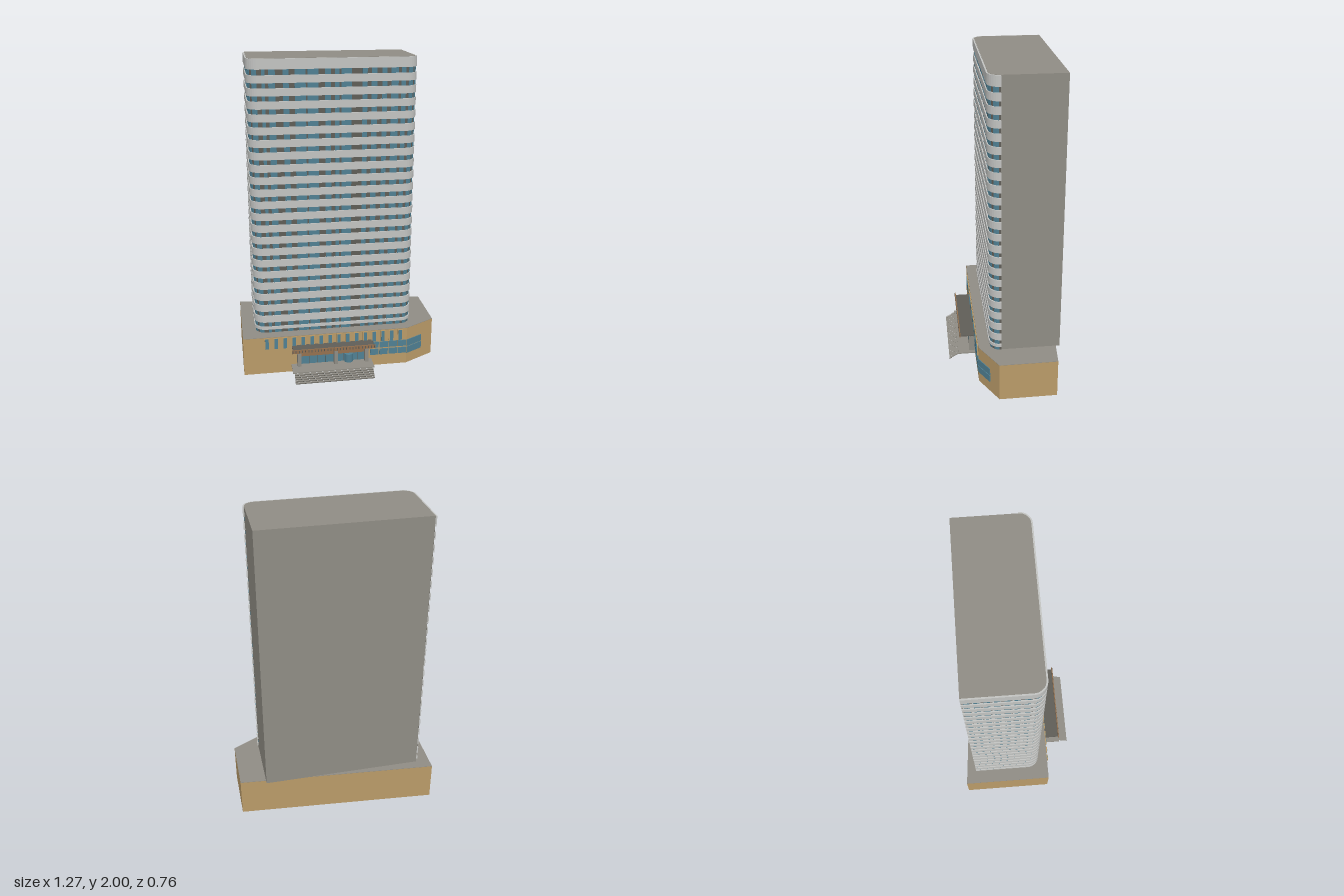
import * as THREE from 'three';

const mat = (name, color, side = THREE.FrontSide) => {
  const m = new THREE.MeshStandardMaterial({ color, side });
  m.name = name;
  return m;
};

export function createModel() {
  const model = new THREE.Group();
  model.name = 'officeTower';
  const concrete = mat('concreteGrey', 0x8f8c84);
  const white = mat('bandWhite', 0xc2c3c1);
  const dark = mat('darkGrey', 0x5f5d57);
  const glass = mat('tealGlass', 0x4f7f92);
  const tan = mat('tanStone', 0xb99a68);
  const brown = mat('brownCladding', 0x94704e);

  const group = (name, parent = model) => {
    const g = new THREE.Group();
    g.name = name;
    parent.add(g);
    return g;
  };
  // box given by its limits on each axis
  const box = (name, m, x0, x1, y0, y1, z0, z1, parent = model) => {
    const mesh = new THREE.Mesh(new THREE.BoxGeometry(x1 - x0, y1 - y0, z1 - z0), m);
    mesh.position.set((x0 + x1) / 2, (y0 + y1) / 2, (z0 + z1) / 2);
    mesh.name = name;
    parent.add(mesh);
    return mesh;
  };
  // floor plan of [x, z] points raised from y0 to y1
  const prism = (name, m, plan, y0, y1, parent = model) => {
    const shape = new THREE.Shape(plan.map(([x, z]) => new THREE.Vector2(x, -z)));
    const geo = new THREE.ExtrudeGeometry(shape, { depth: y1 - y0, bevelEnabled: false });
    geo.rotateX(-Math.PI / 2);
    const mesh = new THREE.Mesh(geo, m);
    mesh.position.y = y0;
    mesh.name = name;
    parent.add(mesh);
    return mesh;
  };

  // --- podium ---
  const H = 0.255;
  const plan = [[-0.635, -0.38], [0.635, -0.272], [0.635, 0.09], [0.435, 0.2], [-0.635, 0.2]];
  prism('podium', tan, plan, 0, H - 0.002);
  prism('podiumRoof', concrete, plan, H - 0.002, H);

  // --- curved facade line: left side, corner, front, corner ---
  const R = 0.065, XL = -0.48, XR = 0.405, ZC = 0.06, ZB = -0.31;
  const side = ZC - ZB, arc = R * Math.PI / 2, front = XR - XL;
  const s1 = side, s2 = s1 + arc, s3 = s2 + front, s4 = s3 + arc;
  const at = (s, d) => {
    const r = R + d;
    if (s <= s1) return [XL - r, ZB + s];
    if (s <= s2) {
      const a = (s - s1) / R;
      return [XL - r * Math.cos(a), ZC + r * Math.sin(a)];
    }
    if (s <= s3) return [XL + s - s2, ZC + r];
    const a = (s - s3) / R;
    return [XR + r * Math.sin(a), ZC + r * Math.cos(a)];
  };
  const knots = [];
  for (let i = 0; i <= 8; i++) knots.push(s1 + arc * i / 8, s3 + arc * i / 8);
  knots.sort((a, b) => a - b);
  // plan of a strip following the facade between two distances and two offsets
  const strip = (a, b, d0, d1) => {
    const list = [a, ...knots.filter(k => k > a + 1e-4 && k < b - 1e-4), b];
    return [...list.map(s => at(s, d1)), ...list.reverse().map(s => at(s, d0))];
  };

  // --- tower core and recessed facade ---
  const tower = group('tower');
  const core = [...[0, ...knots].map(s => at(s, 0)), [XR + R, ZB]];
  prism('core', concrete, core, H - 0.002, 2, tower);
  prism('facadeWall', dark, strip(0, s4, -0.003, 0.001), H, 1.94, tower);

  // panes run up behind the bands
  const panes = group('windows', tower);
  const pane = (a, b) => prism('windowColumn', glass, strip(a, b, 0, 0.003), H, 1.94, panes);
  for (let i = 0; i < 7; i++) pane(0.012 + i * 0.052, 0.044 + i * 0.052);
  [[0.012, 0.042], [0.058, 0.09]].forEach(([a, b]) => {
    pane(s1 + a, s1 + b);
    pane(s3 + a, s3 + b);
  });
  [[-0.465, -0.445], [-0.425, -0.385], [-0.34, -0.305], [-0.27, -0.205], [-0.195, -0.13],
    [-0.09, -0.055], [-0.03, -0.005], [0.008, 0.07], [0.135, 0.165], [0.19, 0.225],
    [0.255, 0.285], [0.31, 0.355], [0.372, 0.4]]
    .forEach(([a, b]) => pane(s2 + a - XL, s2 + b - XL));

  // white floor bands
  const bands = group('floorBands', tower);
  const bandPlan = strip(0, s4, -0.003, 0.009);
  prism('parapetBand', white, bandPlan, 1.937, 1.999, bands);
  for (let i = 0; i < 22; i++) {
    const top = 1.904 - i * 0.0765;
    prism('floorBand', white, bandPlan, top - (i === 21 ? 0.02 : 0.046), top, bands);
  }

  // --- podium windows ---
  const upper = group('podiumUpperWindows');
  for (let i = 0; i < 16; i++) {
    const x = -0.484 + i * 0.0582;
    box('windowSurround', tan, x - 0.017, x + 0.017, 0.175, 0.248, 0.198, 0.207, upper);
    box('windowPane', glass, x - 0.011, x + 0.011, 0.175, 0.246, 0.2, 0.209, upper);
  }
  const lower = group('podiumLowerWindows');
  for (const [y0, y1] of [[0.077, 0.118], [0.128, 0.169]]) {
    for (let i = 0; i < 4; i++) {
      const x = 0.19 + i * 0.0615;
      box('windowPane', glass, x, x + 0.056, y0, y1, 0.198, 0.206, lower);
    }
  }
  // glazing on the slanted corner
  const slant = new THREE.Group();
  slant.name = 'slantedWindow';
  slant.position.set(0.435, 0, 0.2);
  slant.rotation.y = Math.atan2(0.11, 0.2);
  box('slantedPane', glass, 0, 0.128, 0.072, 0.118, -0.002, 0.005, slant);
  box('slantedPane', glass, 0, 0.128, 0.123, 0.169, -0.002, 0.005, slant);
  lower.add(slant);

  // --- entrance ---
  const entrance = group('entrance');
  box('landing', concrete, -0.33, 0.197, 0.046, 0.053, 0.198, 0.316, entrance);
  for (const [a, b] of [[-0.268, -0.05], [-0.035, 0.148]]) {
    box('claddingPanel', brown, a, b, 0.11, 0.18, 0.198, 0.212, entrance);
    box('entranceGlass', glass, a, b, 0.053, 0.11, 0.198, 0.207, entrance);
    for (let i = 1; i < 4; i++) {
      const x = a + (b - a) * i / 4;
      box('mullion', dark, x - 0.0015, x + 0.0015, 0.053, 0.11, 0.2, 0.209, entrance);
    }
  }
  for (const x of [-0.28, -0.043, 0.16])
    box('column', concrete, x - 0.012, x + 0.012, 0.053, 0.182, 0.2, 0.243, entrance);
  const door = new THREE.Mesh(new THREE.CylinderGeometry(0.028, 0.028, 0.057, 20), glass);
  door.name = 'revolvingDoor';
  door.position.set(0.045, 0.0815, 0.212);
  entrance.add(door);

  // canopy with a slatted front edge
  const canopy = group('canopy', entrance);
  box('canopySlab', dark, -0.326, 0.196, 0.182, 0.188, 0.198, 0.302, canopy);
  box('canopyEdge', brown, -0.333, 0.203, 0.181, 0.205, 0.3, 0.306, canopy);
  for (let i = 0; i < 27; i++) {
    const x = -0.328 + i * 0.0202;
    box('edgeSlat', dark, x - 0.003, x + 0.003, 0.185, 0.201, 0.304, 0.308, canopy);
  }
  for (let i = 0; i < 4; i++)
    box('sideRung', dark, 0.196, 0.205, 0.183, 0.187, 0.214 + i * 0.015, 0.218 + i * 0.015, canopy);

  // open flight of steps
  const steps = group('steps', entrance);
  for (let i = 0; i < 5; i++) {
    const z = 0.314 + i * 0.0125, y = 0.046 - i * 0.008;
    box('tread', concrete, -0.32, 0.188, y - 0.005, y - 0.002, z, z + 0.0125, steps);
    box('riser', dark, -0.32, 0.188, y - 0.01, y - 0.005, z + 0.009, z + 0.0115, steps);
  }
  return model;
}
